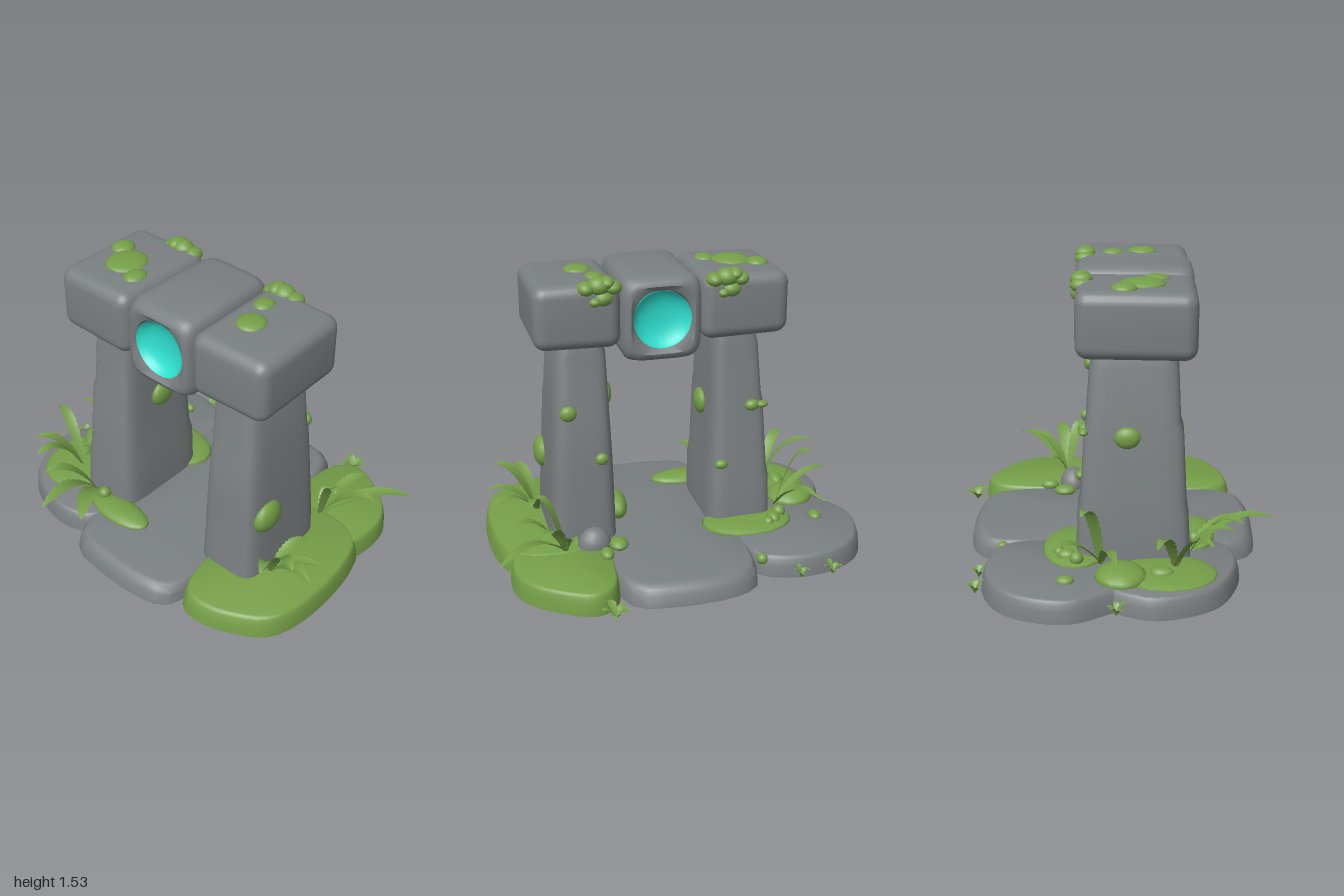
import * as THREE from 'three';
import { toCreasedNormals } from 'three/addons/utils/BufferGeometryUtils.js';
import { RoundedBoxGeometry } from 'three/addons/geometries/RoundedBoxGeometry.js';

const mat = (name, color) => {
  const m = new THREE.MeshStandardMaterial({ color, side: THREE.DoubleSide });
  m.name = name;
  return m;
};

// Skin over closed rings of [x, y, z] points, with an optional top cap
function loft(rings, cap = true, crease = 0.6) {
  const n = rings[0].length, pos = rings.flat(2), idx = [];
  for (let i = 0; i < rings.length - 1; i++)
    for (let j = 0; j < n; j++) {
      const a = i * n + j, b = i * n + (j + 1) % n;
      idx.push(a, b, a + n, b, b + n, a + n);
    }
  if (cap) {
    const last = rings[rings.length - 1], base = (rings.length - 1) * n;
    for (let k = 0; k < 3; k++) pos.push(last.reduce((s, p) => s + p[k], 0) / n);
    for (let j = 0; j < n; j++) idx.push(base + j, base + (j + 1) % n, rings.length * n);
  }
  const g = new THREE.BufferGeometry();
  g.setAttribute('position', new THREE.Float32BufferAttribute(pos, 3));
  g.setIndex(idx);
  return toCreasedNormals(g, crease);
}

// Ring between a circle (e = 1) and a rounded square (small e)
function ring(cx, y, cz, hx, hz, e, n = 40) {
  const f = v => Math.sign(v) * Math.pow(Math.abs(v), e);
  return Array.from({ length: n }, (_, i) => {
    const t = (i + 0.5) / n * Math.PI * 2;
    return [cx + hx * f(Math.cos(t)), y, cz - hz * f(Math.sin(t))];
  });
}

// Flat stone from a top outline [x, z], hollow underneath
function slab(points, top) {
  const curve = new THREE.CatmullRomCurve3(points.map(p => new THREE.Vector3(p[0], 0, p[1])), true);
  const pts = curve.getSpacedPoints(48).slice(0, 48);
  const c = pts.reduce((s, p) => s.add(p), new THREE.Vector3()).divideScalar(48);
  const level = (y, s) => pts.map(p => [c.x + (p.x - c.x) * s, y, c.z + (p.z - c.z) * s]);
  return loft([level(0.008, 1), level(0.07, 0.985), level(top - 0.02, 0.96), level(top - 0.005, 0.94), level(top, 0.91)], true, 0.7);
}

// Arched, saw-edged leaf from base to tip
function leaf(base, tip, width, teeth) {
  const a = new THREE.Vector3(...base), b = new THREE.Vector3(...tip);
  const mid = a.clone().lerp(b, 0.5);
  mid.y = Math.max(a.y, b.y) + a.distanceTo(b) * 0.2;
  const curve = new THREE.QuadraticBezierCurve3(a, mid, b);
  const side = new THREE.Vector3(b.z - a.z, 0, a.x - b.x).normalize();
  const n = teeth * 2, pos = [], idx = [];
  for (let i = 0; i <= n; i++) {
    const t = i / n, p = curve.getPoint(t);
    const w = width * Math.pow(Math.sin(Math.PI * (0.1 + 0.9 * t)), 0.65) * (i % 2 ? 1 : 0.8) / 2;
    for (const s of [-1, 0, 1]) pos.push(p.x + side.x * w * s, p.y + Math.abs(s) * w * 0.3, p.z + side.z * w * s);
    if (i < n) for (const k of [0, 1]) {
      const q = i * 3 + k;
      idx.push(q, q + 1, q + 3, q + 1, q + 4, q + 3);
    }
  }
  const g = new THREE.BufferGeometry();
  g.setAttribute('position', new THREE.Float32BufferAttribute(pos, 3));
  g.setIndex(idx);
  g.computeVertexNormals();
  return g;
}

export function createModel() {
  const model = new THREE.Group();
  const stone = mat('grey stone', 0x7a7f81);
  const moss = mat('moss green', 0x759e48);
  const teal = mat('teal glow', 0x2fe0d0);
  const add = (name, g, m) => {
    const mesh = new THREE.Mesh(g, m);
    mesh.name = name;
    model.add(mesh);
    return mesh;
  };
  const blob = (name, [x, y, z, rx, ry, rz], m = moss) => {
    const b = add(name, new THREE.SphereGeometry(1, 16, 10), m);
    b.position.set(x, y, z);
    b.scale.set(rx, ry, rz);
  };

  // Base slabs
  add('middleSlab', slab([[0.73, 0.2], [0.73, -0.12], [0.66, -0.29], [0.48, -0.34], [0, -0.36], [-0.62, -0.34], [-0.75, -0.26],
    [-0.785, -0.1], [-0.785, 0.22], [-0.74, 0.36], [-0.6, 0.41], [0, 0.44], [0.55, 0.4], [0.69, 0.34]], 0.115), stone);
  add('backSlabOne', slab([[0.62, -0.52], [0.6, -0.74], [0.5, -0.9], [0.33, -0.985], [0.16, -0.995], [0.02, -0.92], [-0.1, -0.82],
    [-0.15, -0.5], [0, -0.3], [0.3, -0.29], [0.54, -0.34]], 0.121), stone);
  add('backSlabTwo', slab([[0.12, -0.6], [0.02, -0.84], [-0.1, -0.92], [-0.23, -0.96], [-0.4, -0.92], [-0.54, -0.83], [-0.63, -0.67],
    [-0.67, -0.48], [-0.6, -0.3], [-0.3, -0.25], [0.05, -0.3]], 0.118), stone);
  add('frontMossSlabLeft', slab([[0.3, 0.62], [0.24, 0.86], [0.1, 0.93], [-0.18, 0.965], [-0.42, 0.945], [-0.55, 0.89], [-0.64, 0.76],
    [-0.7, 0.6], [-0.69, 0.45], [-0.58, 0.38], [-0.1, 0.35], [0.2, 0.4]], 0.126), moss);
  add('frontMossSlabRight', slab([[0.72, 0.54], [0.63, 0.73], [0.52, 0.85], [0.4, 0.9], [0.2, 0.89], [0.06, 0.83], [0, 0.6],
    [0.1, 0.41], [0.45, 0.38], [0.66, 0.43]], 0.122), moss);

  // Pillars: [y, x min, x max, z min, z max], with chipped ledges
  const pillar = (name, rows) => add(name, loft(rows.map(([y, x0, x1, z0, z1]) =>
    ring((x0 + x1) / 2, y, (z0 + z1) / 2, (x1 - x0) / 2, (z1 - z0) / 2, 0.36)), true, 0.5), stone);
  pillar('frontPillar', [[0.01, -0.43, 0.16, 0.3, 0.66], [0.3, -0.41, 0.15, 0.305, 0.65], [0.55, -0.395, 0.135, 0.31, 0.635],
    [0.81, -0.38, 0.115, 0.32, 0.62], [0.85, -0.365, 0.105, 0.32, 0.615], [1.12, -0.352, 0.085, 0.33, 0.595],
    [1.17, -0.34, 0.075, 0.345, 0.575], [1.2, -0.3, 0.04, 0.38, 0.54]]);
  pillar('backPillar', [[0.01, -0.43, 0.16, -0.56, -0.2], [0.35, -0.41, 0.15, -0.55, -0.2], [0.42, -0.4, 0.135, -0.54, -0.21],
    [0.78, -0.38, 0.115, -0.515, -0.22], [0.83, -0.365, 0.105, -0.505, -0.225], [1.1, -0.352, 0.085, -0.485, -0.23],
    [1.16, -0.34, 0.075, -0.47, -0.24], [1.19, -0.3, 0.04, -0.43, -0.27]]);

  // End lintels, slightly uneven
  for (const [name, z, depth, dir] of [['frontLintel', 0.49, 0.44, 1], ['backLintel', -0.378, 0.465, -1]]) {
    const g = new RoundedBoxGeometry(0.59, 0.335, depth, 4, 0.065);
    const p = g.attributes.position;
    for (let i = 0; i < p.count; i++) {
      const out = p.getZ(i) * dir;
      p.setY(i, p.getY(i) * (1 - out * 0.08) + p.getX(i) * 0.015);
      p.setX(i, p.getX(i) * (1 - out * 0.06));
    }
    add(name, toCreasedNormals(g, 0.7), stone).position.set(-0.14, 1.332, z);
  }

  // Keystone with a round, dished opening on both sides
  const half = [[0.25, 0.146, 0.146, 1], [0.285, 0.152, 0.15, 0.9], [0.302, 0.175, 0.165, 0.5], [0.295, 0.195, 0.185, 0.42],
    [0.275, 0.21, 0.2, 0.38], [0.235, 0.22, 0.208, 0.34]];
  const rows = [...half.map(([y, ...r]) => [-y, ...r]), ...half.slice().reverse()];
  const key = add('keystone', loft(rows.map(([y, a, b, e]) => ring(0, y, 0, a, b, e)), false, 0.7), stone);
  const bowl = [[0.285, 0.15], [0.262, 0.135], [0.245, 0.11], [0.233, 0.075], [0.227, 0.035]];
  const parts = [key];
  for (const s of [-1, 1])
    parts.push(add('glowDish', loft(bowl.map(([y, r]) => ring(0, y * s, 0, r, r, 1)), true, 1), teal));
  for (const m of parts) {
    m.rotation.z = -Math.PI / 2;
    m.position.set(-0.135, 1.3, 0.063);
  }

  // Moss on the lintels, including drapes over the edge
  for (const b of [[-0.17, 1.495, -0.385, 0.115, 0.03, 0.105], [-0.08, 1.497, -0.5, 0.065, 0.03, 0.06], [-0.24, 1.495, -0.26, 0.065, 0.025, 0.055],
    [-0.18, 1.495, 0.43, 0.08, 0.028, 0.075], [-0.02, 1.497, 0.375, 0.06, 0.025, 0.05]]) blob('lintelMoss', b);
  for (const z of [0.38, -0.275])
    for (const [dy, dz, r] of [[0.03, 0, 0.06], [0.02, 0.065, 0.045], [0.02, -0.07, 0.045], [-0.03, -0.02, 0.055], [-0.045, 0.025, 0.035], [0.045, -0.04, 0.04]])
      blob('drapedMoss', [0.125, 1.46 + dy, z + dz, 0.055, r * 0.8, r]);

  // Moss on the pillars
  for (const b of [[-0.265, 0.475, 0.635, 0.097, 0.085, 0.05], [0.115, 0.83, 0.55, 0.03, 0.042, 0.045], [0.135, 0.57, 0.385, 0.025, 0.032, 0.035],
    [-0.12, 0.84, 0.315, 0.075, 0.07, 0.035], [-0.12, 0.74, -0.215, 0.075, 0.07, 0.035], [-0.1, 0.76, -0.515, 0.065, 0.055, 0.035],
    [0.115, 0.78, -0.43, 0.03, 0.03, 0.04], [0.115, 0.78, -0.485, 0.025, 0.018, 0.035], [0.14, 0.465, -0.26, 0.025, 0.025, 0.035]]) blob('pillarMoss', b);

  // Moss mounds and pebbles on the ground
  for (const b of [[0.16, 0.12, -0.4, 0.17, 0.035, 0.25], [-0.47, 0.12, -0.22, 0.09, 0.04, 0.2], [-0.3, 0.115, -0.68, 0.25, 0.03, 0.2],
    [-0.07, 0.125, -0.73, 0.13, 0.06, 0.13], [-0.15, 0.16, 0.26, 0.13, 0.07, 0.06], [0.25, 0.13, 0.33, 0.06, 0.03, 0.05],
    [0.34, 0.13, 0.41, 0.05, 0.03, 0.035], [0.2, 0.14, -0.54, 0.05, 0.035, 0.035], [0.15, 0.15, -0.59, 0.035, 0.035, 0.035],
    [0.24, 0.14, -0.5, 0.03, 0.03, 0.03], [0.2, 0.125, -0.78, 0.045, 0.025, 0.035], [-0.27, 0.14, -0.72, 0.06, 0.03, 0.04],
    [0.54, 0.1, -0.36, 0.03, 0.03, 0.03], [-0.45, 0.16, -0.36, 0.035, 0.035, 0.035]]) blob('groundMoss', b);
  blob('smallRock', [0.21, 0.12, 0.45, 0.075, 0.1, 0.09], stone);

  // Ferns: a base and its leaf tips [x, y, z, width]
  const ferns = [
    [[-0.34, 0.13, -0.65], [[-0.51, 0.33, -0.84, 0.075], [-0.62, 0.35, -0.7, 0.08], [-0.24, 0.36, -0.93, 0.07]]],
    [[-0.43, 0.13, -0.45], [[-0.68, 0.33, -0.57, 0.08], [-0.85, 0.29, -0.41, 0.09], [-0.73, 0.22, -0.25, 0.11]]],
    [[0.03, 0.13, -0.61], [[0.28, 0.27, -0.76, 0.085], [0.12, 0.46, -0.78, 0.08], [-0.05, 0.28, -0.95, 0.06]]],
    [[-0.27, 0.12, 0.68], [[-0.39, 0.36, 0.9, 0.08], [-0.31, 0.25, 0.95, 0.07], [-0.17, 0.23, 0.92, 0.07], [-0.06, 0.24, 0.74, 0.07],
      [-0.48, 0.32, 0.77, 0.07]]],
    [[0.24, 0.12, 0.61], [[0.56, 0.25, 0.98, 0.08], [0.31, 0.33, 0.91, 0.08], [0.47, 0.32, 0.75, 0.08], [0.16, 0.4, 0.75, 0.07],
      [0.36, 0.23, 0.57, 0.06]]],
  ];
  for (const [base, tips] of ferns)
    for (const [x, y, z, w] of tips) add('fernLeaf', leaf(base, [x, y, z], w, 11), moss);

  // Small sprouts beside the slabs
  for (const [x, z, r] of [[0.77, 0.46, 0.075], [0.645, -0.71, 0.05], [0.645, -0.54, 0.045], [-0.05, -0.93, 0.05]])
    for (let i = 0; i < 5; i++) {
      const a = i * 1.2566 + 0.3;
      add('sproutLeaf', leaf([x, 0.02, z], [x + r * Math.cos(a), 0.06 + 0.01 * (i % 3), z + r * Math.sin(a)], r * 0.6, 3), moss);
    }
  return model;
}
